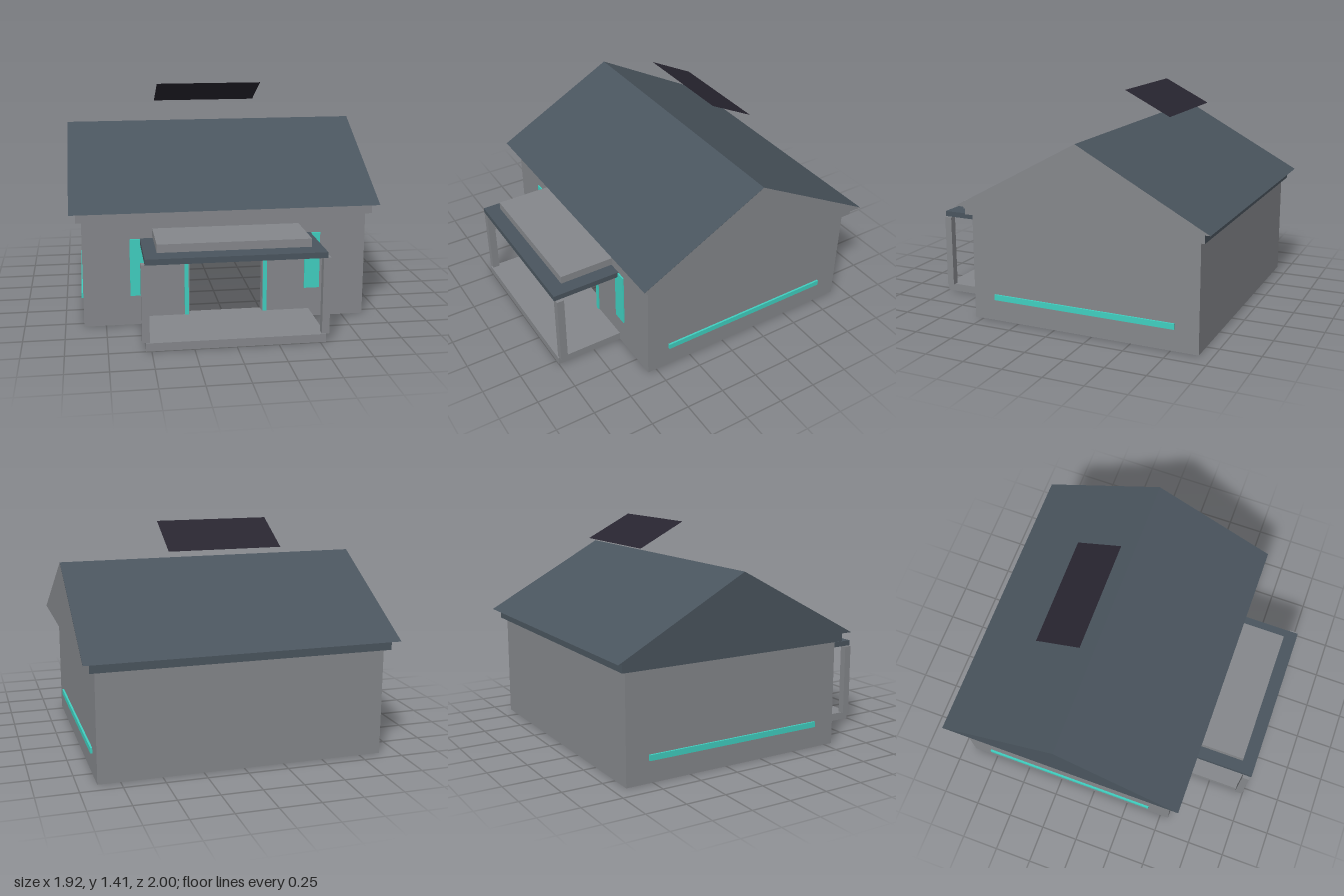
import * as THREE from 'three';

const mat = (name, color) => Object.assign(new THREE.MeshStandardMaterial({ color }), { name });

export function createModel() {
  const model = new THREE.Group();
  model.name = 'house';
  const grey = mat('wall grey', 0x85878b);
  const slate = mat('roof slate', 0x4a555e);
  const teal = mat('trim teal', 0x40cfc0);
  const black = mat('panel black', 0x282530);
  const panelBlack = mat('panel black', 0x282530);
  panelBlack.side = THREE.DoubleSide;

  const add = (name, geometry, material) => {
    const mesh = new THREE.Mesh(geometry, material);
    mesh.name = name;
    model.add(mesh);
    return mesh;
  };
  // Box given by its limits; material may be one per face (+x -x +y -y +z -z)
  const box = (name, x0, x1, y0, y1, z0, z1, material) => {
    const mesh = add(name, new THREE.BoxGeometry(x1 - x0, y1 - y0, z1 - z0), material);
    mesh.position.set((x0 + x1) / 2, (y0 + y1) / 2, (z0 + z1) / 2);
    return mesh;
  };
  const polygon = (pts) => new THREE.Shape(pts.map(([x, y]) => new THREE.Vector2(x, y)));
  const extrude = (shape, depth) => new THREE.ExtrudeGeometry(shape, { depth, bevelEnabled: false });

  // Walls, open at the bottom, with a doorway in the front
  const W = 0.886, H = 0.67, F = 0.558, B = -0.92, T = 0.055;
  const front = polygon([[-W, 0], [W, 0], [W, H], [-W, H]]);
  front.holes.push(polygon([[-0.23, 0.05], [-0.23, 0.495], [0.23, 0.495], [0.23, 0.05]]));
  add('frontWall', extrude(front, T), grey).position.z = F - T;
  box('backWall', -W, W, 0, H, B, B + T, grey);
  box('leftWall', W - T, W, 0, H, B + T, F - T, grey);
  box('rightWall', -W, T - W, 0, H, B + T, F - T, grey);

  // Cornice, whose underside is the ceiling
  box('cornice', -0.92, 0.92, H, 0.73, -0.953, 0.588, [grey, slate, grey, slate, grey, slate]);

  // Gabled roof with one grey gable
  const gable = polygon([[-0.627, 0.73], [0.997, 0.73], [0.185, 1.17]]);
  add('roof', extrude(gable, 1.92).rotateY(Math.PI / 2), slate).position.x = -0.96;
  add('leftGable', new THREE.ShapeGeometry(gable).rotateY(Math.PI / 2), grey).position.x = 0.961;

  // Thin panel floating above the back slope
  const rise = 0.15, run = 0.295;
  const panel = add('roofPanel', new THREE.PlaneGeometry(0.71, Math.hypot(rise, run)), panelBlack);
  panel.position.set(0, 1.335, -0.3775);
  panel.rotation.x = -Math.PI / 2 - Math.atan2(rise, run);

  // Porch: slab, canopy and raised block
  box('porchFloor', -0.533, 0.533, 0, 0.05, F, 1, [grey, grey, grey, slate, grey, grey]);
  box('porchCanopy', -0.533, 0.533, 0.52, 0.555, F, 1, [slate, slate, slate, black, slate, slate]);
  box('canopyBlock', -0.457, 0.457, 0.565, 0.615, F, 0.912, grey);

  // Door trim
  add('doorTrim', extrude(polygon([
    [-0.26, 0.05], [-0.235, 0.05], [-0.235, 0.5], [0.235, 0.5],
    [0.235, 0.05], [0.26, 0.05], [0.26, 0.52], [-0.26, 0.52],
  ]), 0.008), teal).position.z = F;

  // Mirrored posts, front strips and side stripes
  for (const [side, s] of [['left', 1], ['right', -1]]) {
    const pair = (name, x0, x1, ...rest) =>
      box(side + name, Math.min(s * x0, s * x1), Math.max(s * x0, s * x1), ...rest);
    pair('Post', 0.51, 0.555, 0.05, 0.52, 0.945, 0.992, grey);
    pair('WindowStrip', 0.5, 0.597, 0.19, 0.552, F, F + 0.008, teal);
    pair('SideStripe', W, W + 0.012, 0.135, 0.17, -0.773, 0.41, teal);
  }
  return model;
}
